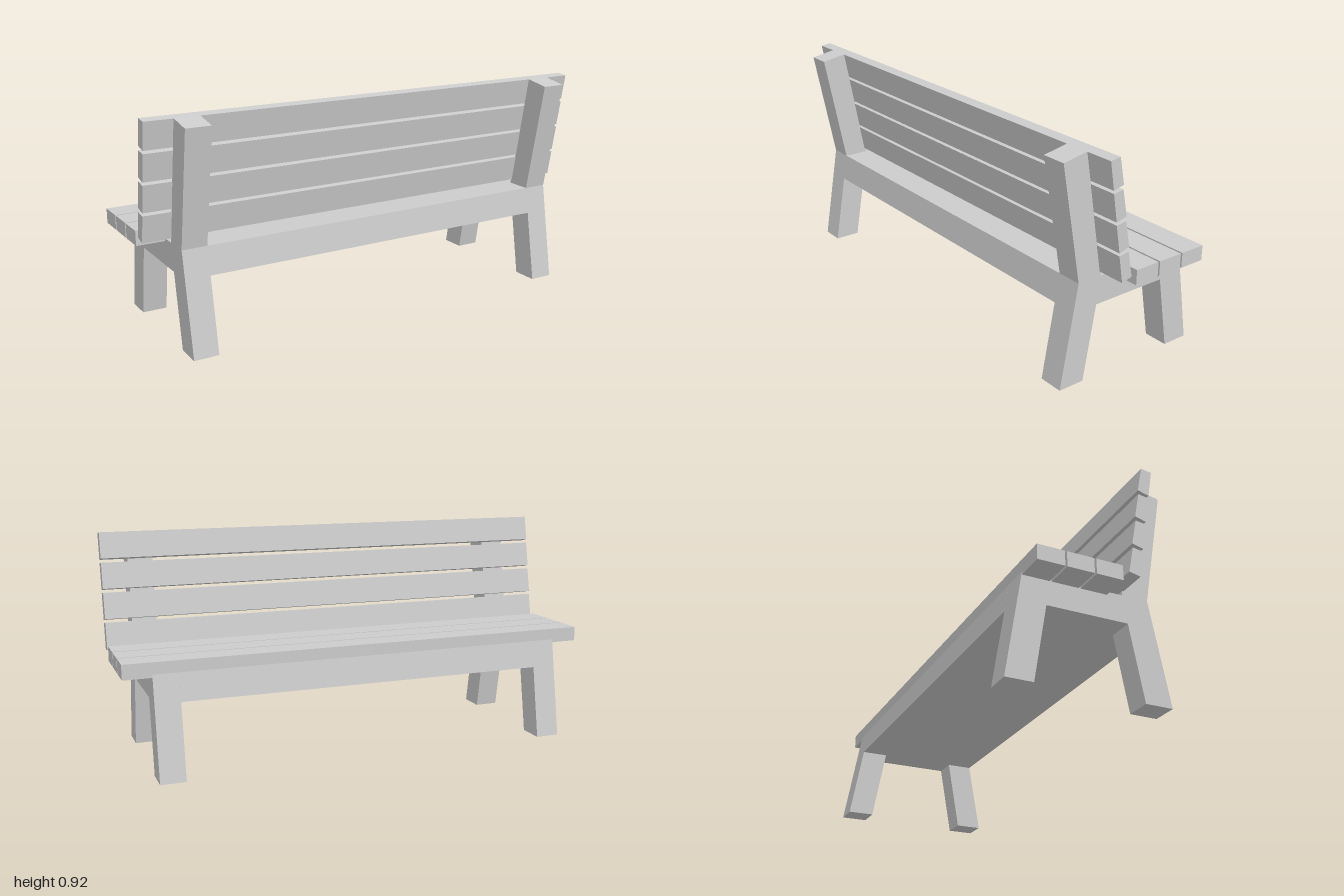
import * as THREE from 'three';

const material = new THREE.MeshStandardMaterial({ color: 0xcccccc, flatShading: true });

// Extrude a side profile of [z, y] points across x, from x0 to x1
function sideExtrude(name, points, x0, x1) {
  const shape = new THREE.Shape(points.map(([z, y]) => new THREE.Vector2(-z, y)));
  const geometry = new THREE.ExtrudeGeometry(shape, { depth: x1 - x0, bevelEnabled: false });
  geometry.rotateY(Math.PI / 2).translate(x0, 0, 0);
  const mesh = new THREE.Mesh(geometry, material);
  mesh.name = name;
  return mesh;
}

export function createModel() {
  const bench = new THREE.Group();
  bench.name = 'bench';

  // End frames: splayed legs, seat rail and leaning back post in one piece
  const frame = [
    [0.325, 0], [0.213, 0], [0.16, 0.305], [-0.172, 0.305], [-0.227, 0],
    [-0.338, 0], [-0.265, 0.418], [0.142, 0.418], [0.235, 0.914],
    [0.34, 0.895], [0.251, 0.418],
  ];
  bench.add(sideExtrude('leftFrame', frame, 0.782, 0.885));
  bench.add(sideExtrude('rightFrame', frame, -0.885, -0.782));

  // Solid base under the seat, flush with the slanted legs
  const base = [[0.271, 0.305], [-0.285, 0.305], [-0.265, 0.418], [0.251, 0.418]];
  bench.add(sideExtrude('seatBase', base, -0.782, 0.782));

  // Seat slats
  for (let i = 0; i < 3; i++) {
    const slat = new THREE.Mesh(new THREE.BoxGeometry(2, 0.061, 0.109), material);
    slat.position.set(0, 0.4355, 0.024 - i * 0.1172);
    slat.name = 'seatSlat' + (i + 1);
    bench.add(slat);
  }

  // Backrest slats, stepping down along the leaning posts
  const backSlat = [[0.234, 0.913], [0.19, 0.919], [0.168, 0.814], [0.214, 0.803]];
  for (let i = 0; i < 4; i++) {
    const slat = sideExtrude('backSlat' + (i + 1), backSlat, -1, 1);
    slat.position.set(0, -0.1222 * i, -0.0212 * i);
    bench.add(slat);
  }

  return bench;
}
